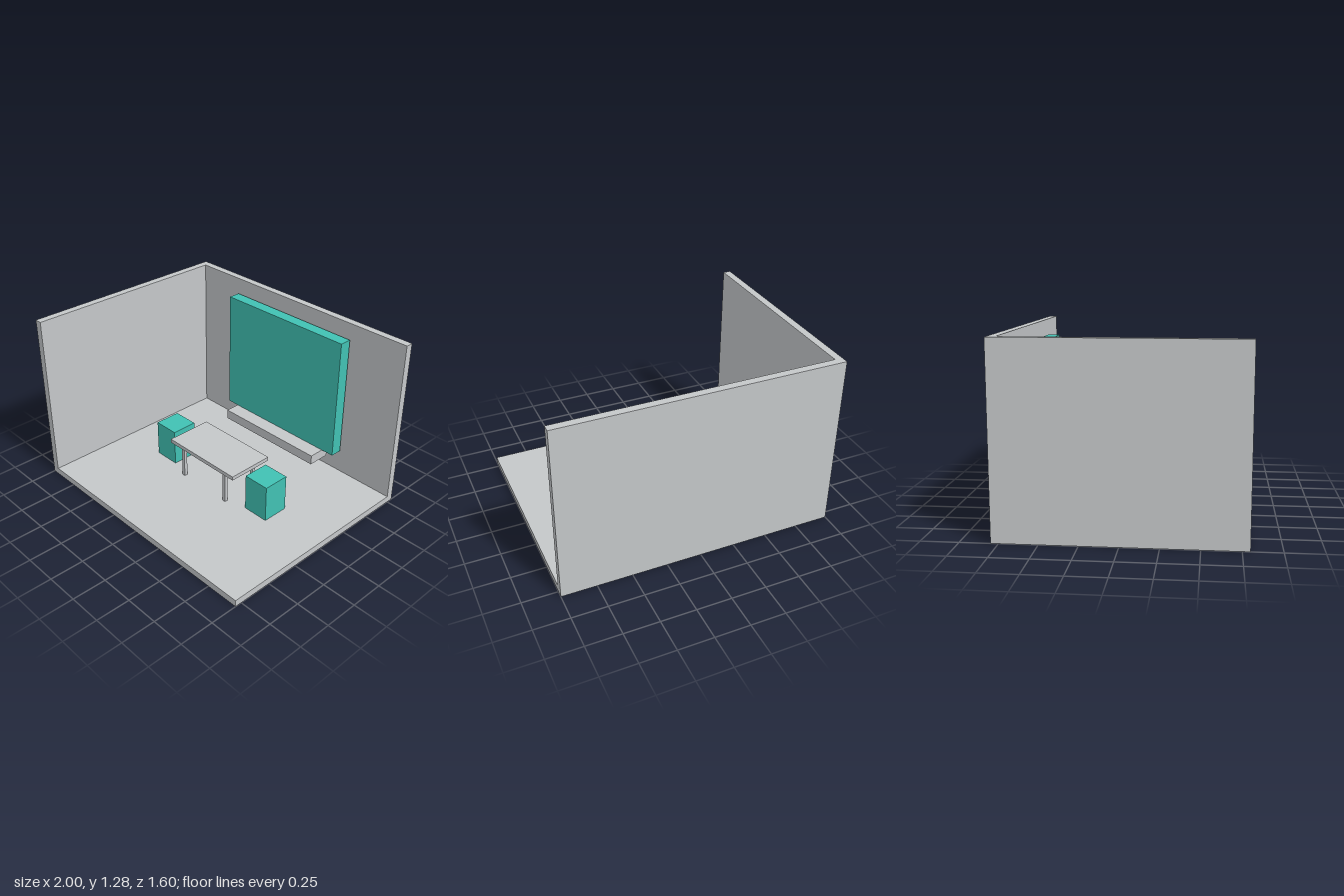
import * as THREE from 'three';

export function createModel() {
  const model = new THREE.Group();
  model.name = 'diningRoom';

  const grey = new THREE.MeshStandardMaterial({ color: 0xc4c7c9 });
  grey.name = 'light grey';
  const teal = new THREE.MeshStandardMaterial({ color: 0x41c1b3 });
  teal.name = 'teal';

  // Box given by its extents along each axis
  function box(name, material, [x0, x1], [y0, y1], [z0, z1], parent = model) {
    const mesh = new THREE.Mesh(new THREE.BoxGeometry(x1 - x0, y1 - y0, z1 - z0), material);
    mesh.position.set((x0 + x1) / 2, (y0 + y1) / 2, (z0 + z1) / 2);
    mesh.name = name;
    parent.add(mesh);
    return mesh;
  }

  // Room shell: floor, back wall and one side wall
  const floorTop = 0.05;
  const wallTop = 1.28;
  box('floor', grey, [-1, 1], [0, floorTop], [-0.8, 0.8]);
  box('backWall', grey, [-1, 1], [floorTop, wallTop], [-0.8, -0.745]);
  box('sideWall', grey, [-1, -0.945], [floorTop, wallTop], [-0.745, 0.8]);

  // Wall panel with the shelf below it
  box('wallPanel', teal, [-0.55, 0.55], [0.24, 1.165], [-0.727, -0.637]);
  box('shelf', grey, [-0.45, 0.45], [0.165, 0.24], [-0.695, -0.52]);

  // Table
  const table = new THREE.Group();
  table.name = 'table';
  model.add(table);
  box('tableTop', grey, [-0.33, 0.33], [0.303, 0.333], [-0.178, 0.18], table);
  for (const x of [-0.222, 0.217]) {
    for (const z of [-0.137, 0.143]) {
      box('tableLeg', grey, [x - 0.013, x + 0.013], [floorTop, 0.303], [z - 0.013, z + 0.013], table);
    }
  }

  // Block stools at both ends of the table
  for (const [name, x] of [['rightStool', -0.482], ['leftStool', 0.48]]) {
    box(name, teal, [x - 0.1, x + 0.1], [floorTop, 0.33], [-0.1, 0.1]);
  }

  return model;
}
